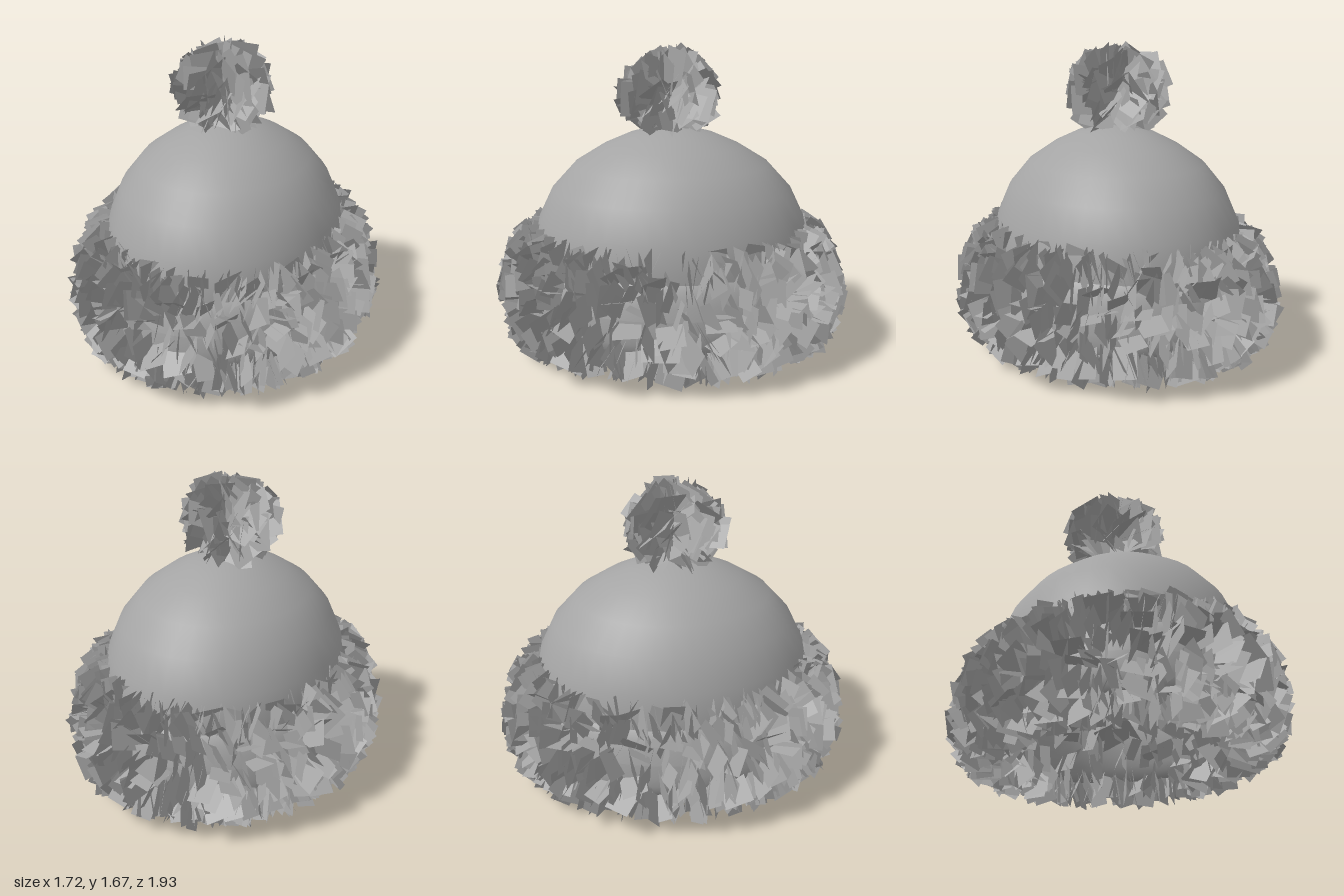
import * as THREE from 'three';
import { mergeGeometries } from 'three/addons/utils/BufferGeometryUtils.js';

const STRETCH = 1.17; // the hat is longer front to back than it is wide

// Seeded random numbers keep the fur the same on every run
function seeded(seed) {
  return () => {
    seed = (seed * 1664525 + 1013904223) % 4294967296;
    return seed / 4294967296;
  };
}

const softPow = (v, p) => Math.sign(v) * Math.abs(v) ** p;

// Point on the oval cuff, wider at the bottom: a runs around the hat, b around the roll
function cuffPoint(a, b, grow = 0) {
  const up = softPow(Math.sin(b), 0.92);
  const out = softPow(Math.cos(b), 0.92);
  const r = 0.625 - 0.03 * up + ((out > 0 ? 0.105 : 0.085) + grow) * out;
  const y = 0.38 + (0.225 + grow) * up;
  return new THREE.Vector3(r * Math.sin(a), y, (r + 0.11) * Math.cos(a));
}

// A flat tuft standing on a surface: length along the normal, face turned to "side"
function tuft(rand, pos, normal, side, width, length, jitter) {
  const wobble = () => (rand() - 0.5) * 2 * jitter;
  const y = normal.clone().normalize();
  const x = new THREE.Vector3().crossVectors(y, side).normalize();
  const z = new THREE.Vector3().crossVectors(x, y);
  const turn = new THREE.Quaternion().setFromRotationMatrix(new THREE.Matrix4().makeBasis(x, y, z));
  turn.multiply(new THREE.Quaternion().setFromEuler(new THREE.Euler(wobble(), wobble() * 1.3, wobble())));
  const g = new THREE.PlaneGeometry(width, length);
  g.translate(0, length * 0.12, 0);
  g.applyQuaternion(turn);
  g.translate(pos.x, pos.y, pos.z);
  return g;
}

export function createModel() {
  const hat = new THREE.Group();
  hat.name = 'furHat';
  const material = new THREE.MeshStandardMaterial({ color: 0xa4a4a4, side: THREE.DoubleSide });
  const add = (name, geometry) => {
    const mesh = new THREE.Mesh(geometry, material);
    mesh.name = name;
    hat.add(mesh);
    return mesh;
  };

  // Smooth crown, open underneath
  const profile = [
    [0.63, 0.25], [0.645, 0.45], [0.645, 0.6], [0.62, 0.74], [0.555, 0.9],
    [0.45, 1.035], [0.32, 1.13], [0.2, 1.192], [0.1, 1.22], [0, 1.23],
  ].map(([r, y]) => new THREE.Vector2(r, y));
  add('crown', new THREE.LatheGeometry(profile, 40)).scale.z = STRETCH;

  // Rolled cuff beneath the fur: a torus reshaped to the cuff section
  const core = new THREE.TorusGeometry(1, 0.3, 20, 48);
  const uv = core.attributes.uv;
  for (let i = 0; i < uv.count; i++) {
    const p = cuffPoint(uv.getX(i) * Math.PI * 2, uv.getY(i) * Math.PI * 2, -0.025);
    core.attributes.position.setXYZ(i, p.x, p.y, p.z);
  }
  core.computeVertexNormals();
  add('cuff', core);

  // Fur on the cuff: rows of tufts fanned around each cross-section, thinner on the inside
  const rand = seeded(7);
  const cuffFur = [];
  const columns = 96, rows = 17;
  for (let i = 0; i < columns; i++) {
    for (let j = 0; j < rows; j++) {
      const a = ((i + rand()) / columns) * Math.PI * 2;
      const b = ((j + rand()) / rows) * Math.PI * 2;
      if (Math.cos(b) < -0.5 && rand() < 0.7) continue;
      // Small parting in the fur at the left side
      if (Math.abs(a - Math.PI / 2) < 0.09 && b > 0.9 && b < 2.4) continue;
      const pos = cuffPoint(a, b);
      const normal = cuffPoint(a, b, 0.1).sub(pos);
      const around = cuffPoint(a + 0.05, b).sub(pos).normalize();
      // Most tufts face along the cuff, some lie across it
      const side = rand() < 0.8 ? around : around.clone().cross(normal).normalize();
      cuffFur.push(tuft(rand, pos, normal, side, 0.09 + rand() * 0.07, 0.13 + rand() * 0.08, 0.42));
    }
  }
  add('cuffFur', mergeGeometries(cuffFur));

  // Pompom: broad tufts spread evenly over a ball, spreading wider near its base
  const pompom = [];
  const centre = new THREE.Vector3(-0.02, 1.415, 0.01);
  const count = 130;
  for (let i = 0; i < count; i++) {
    const h = 1 - (2 * (i + 0.5)) / count;
    const a = i * 2.39996;
    const s = Math.sqrt(1 - h * h) * (h < 0 ? 1.1 : 1);
    const normal = new THREE.Vector3(s * Math.cos(a), h * 0.9, s * Math.sin(a));
    const side = new THREE.Vector3(-Math.sin(a), 0.2, Math.cos(a));
    const pos = centre.clone().addScaledVector(normal, 0.12 + rand() * 0.04);
    pompom.push(tuft(rand, pos, normal, side, 0.12 + rand() * 0.07, 0.16 + rand() * 0.06, 0.6));
  }
  add('pompom', mergeGeometries(pompom));

  return hat;
}
